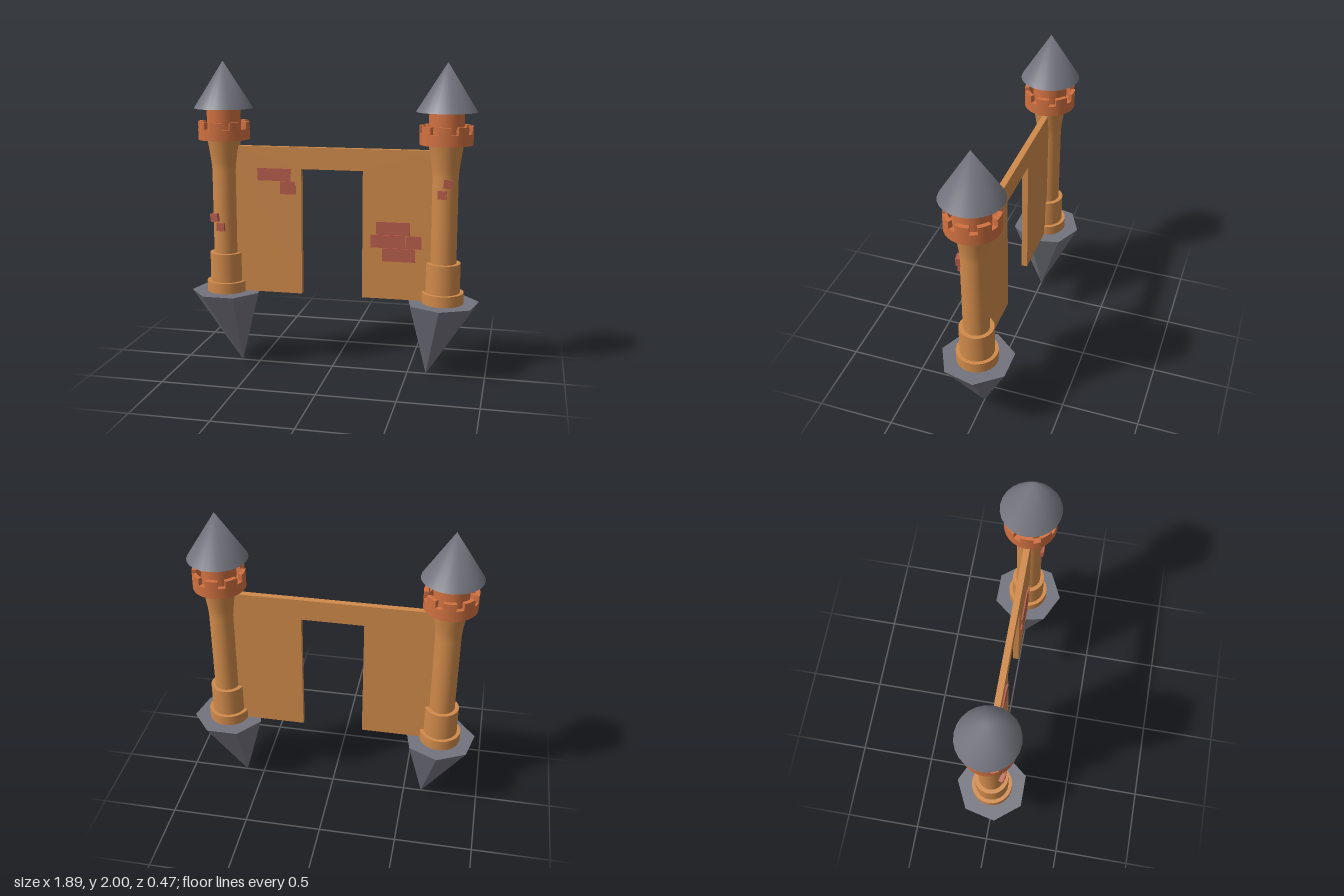
import * as THREE from 'three';
import { mergeVertices } from 'three/addons/utils/BufferGeometryUtils.js';

const material = (name, color) => {
  const m = new THREE.MeshStandardMaterial({ color });
  m.name = name;
  return m;
};

export function createModel() {
  const sandstone = material('sandstone', 0xd08a4a);
  const terracotta = material('terracotta', 0xd07040);
  const slate = material('slate', 0x73737e);
  const brickRed = material('brick red', 0xb85c4c);

  const model = new THREE.Group();
  model.name = 'castleGate';

  const add = (parent, name, geometry, mat, x = 0, y = 0, z = 0) => {
    const mesh = new THREE.Mesh(geometry, mat);
    mesh.name = name;
    mesh.position.set(x, y, z);
    parent.add(mesh);
    return mesh;
  };
  const drum = (parent, name, r, y0, y1, mat) =>
    add(parent, name, new THREE.CylinderGeometry(r, r, y1 - y0, 32), mat, 0, (y0 + y1) / 2);

  // Sector of a ring, extruded upwards
  const ringSector = (inner, outer, start, end, height) => {
    const s = new THREE.Shape();
    s.absarc(0, 0, outer, start, end, false);
    s.absarc(0, 0, inner, end, start, true);
    const g = new THREE.ExtrudeGeometry(s, { depth: height, bevelEnabled: false, curveSegments: 5 });
    return g.rotateX(-Math.PI / 2);
  };

  // Roof cone with a softly rounded tip shading
  const roofCone = () => {
    const g = new THREE.ConeGeometry(0.19, 0.3, 24, 1, true);
    g.deleteAttribute('normal');
    g.deleteAttribute('uv');
    const merged = mergeVertices(g, 1e-4);
    merged.computeVertexNormals();
    return merged;
  };

  // Seven-sided rock spike with its point pushed towards the gate
  const rockSpike = () => {
    const g = new THREE.ConeGeometry(0.235, 0.49, 7).rotateX(Math.PI).toNonIndexed();
    const p = g.attributes.position;
    for (let i = 0; i < p.count; i++) {
      if (p.getY(i) < -0.24) p.setX(i, 0.097);
    }
    g.computeVertexNormals();
    return g;
  };

  // Gate wall with a doorway cut up from its lower edge
  const wall = new THREE.Shape([
    [-0.66, 0.495], [-0.2, 0.495], [-0.2, 1.32], [0.2, 1.32],
    [0.2, 0.495], [0.66, 0.495], [0.66, 1.46], [-0.66, 1.46],
  ].map(([x, y]) => new THREE.Vector2(x, y)));
  add(model, 'gateWall', new THREE.ExtrudeGeometry(wall, { depth: 0.04, bevelEnabled: false }),
    sandstone, 0, 0, -0.02);

  // Exposed bricks on the wall: x0, x1, y0, y1
  [
    [-0.49, -0.27, 1.24, 1.32], [-0.34, -0.24, 1.155, 1.238],
    [0.29, 0.505, 0.917, 1.0], [0.255, 0.475, 0.832, 0.915],
    [0.478, 0.58, 0.832, 0.915], [0.33, 0.54, 0.745, 0.83],
  ].forEach(([x0, x1, y0, y1]) => {
    add(model, 'wallBrick', new THREE.BoxGeometry(x1 - x0, y1 - y0, 0.009), brickRed,
      (x0 + x1) / 2, (y0 + y1) / 2, 0.0245);
  });

  // Towers: the second is the first turned half round
  [-1, 1].forEach((side) => {
    const tower = new THREE.Group();
    tower.name = side > 0 ? 'leftTower' : 'rightTower';
    tower.position.x = side * 0.718;
    tower.rotation.y = side > 0 ? Math.PI : 0;
    model.add(tower);

    add(tower, 'rockSpike', rockSpike(), slate, 0, 0.245);
    drum(tower, 'baseRing', 0.133, 0.489, 0.56, sandstone);
    drum(tower, 'plinth', 0.109, 0.56, 0.75, sandstone);

    const profile = [[0.082, 0.75], [0.082, 1.3], [0.086, 1.35], [0.096, 1.42], [0.109, 1.5]];
    add(tower, 'shaft', new THREE.LatheGeometry(
      profile.map(([r, y]) => new THREE.Vector2(r, y)), 32), sandstone);

    // Battlement: floor, low ring wall and merlons
    drum(tower, 'battlementFloor', 0.15, 1.501, 1.525, terracotta);
    const ring = [[0.138, 1.5], [0.166, 1.5], [0.166, 1.5], [0.166, 1.57],
      [0.166, 1.57], [0.138, 1.57], [0.138, 1.57], [0.138, 1.5]];
    add(tower, 'battlementRing', new THREE.LatheGeometry(
      ring.map(([r, y]) => new THREE.Vector2(r, y)), 32), terracotta);
    const merlons = 8;
    for (let i = 0; i < merlons; i++) {
      const a = (i / merlons) * Math.PI * 2;
      add(tower, 'merlon', ringSector(0.138, 0.166, a - 0.25, a + 0.25, 0.046), terracotta, 0, 1.57);
    }

    drum(tower, 'turretNeck', 0.109, 1.5, 1.705, terracotta);
    add(tower, 'roof', roofCone(), slate, 0, 1.85);
    add(tower, 'roofUnderside', new THREE.CircleGeometry(0.19, 24).rotateX(Math.PI / 2), slate, 0, 1.7);
  });

  // Small bricks on the tower fronts: x, y, tilt
  [
    [-0.766, 0.993, 0.12], [-0.726, 0.932, 0], [0.743, 1.266, -0.06], [0.708, 1.197, 0],
  ].forEach(([x, y, tilt]) => {
    const brick = add(model, 'towerBrick', new THREE.BoxGeometry(0.054, 0.053, 0.028), brickRed, x, y, 0.083);
    brick.rotation.set(0, (x - Math.sign(x) * 0.718) * 5, tilt);
  });

  return model;
}
